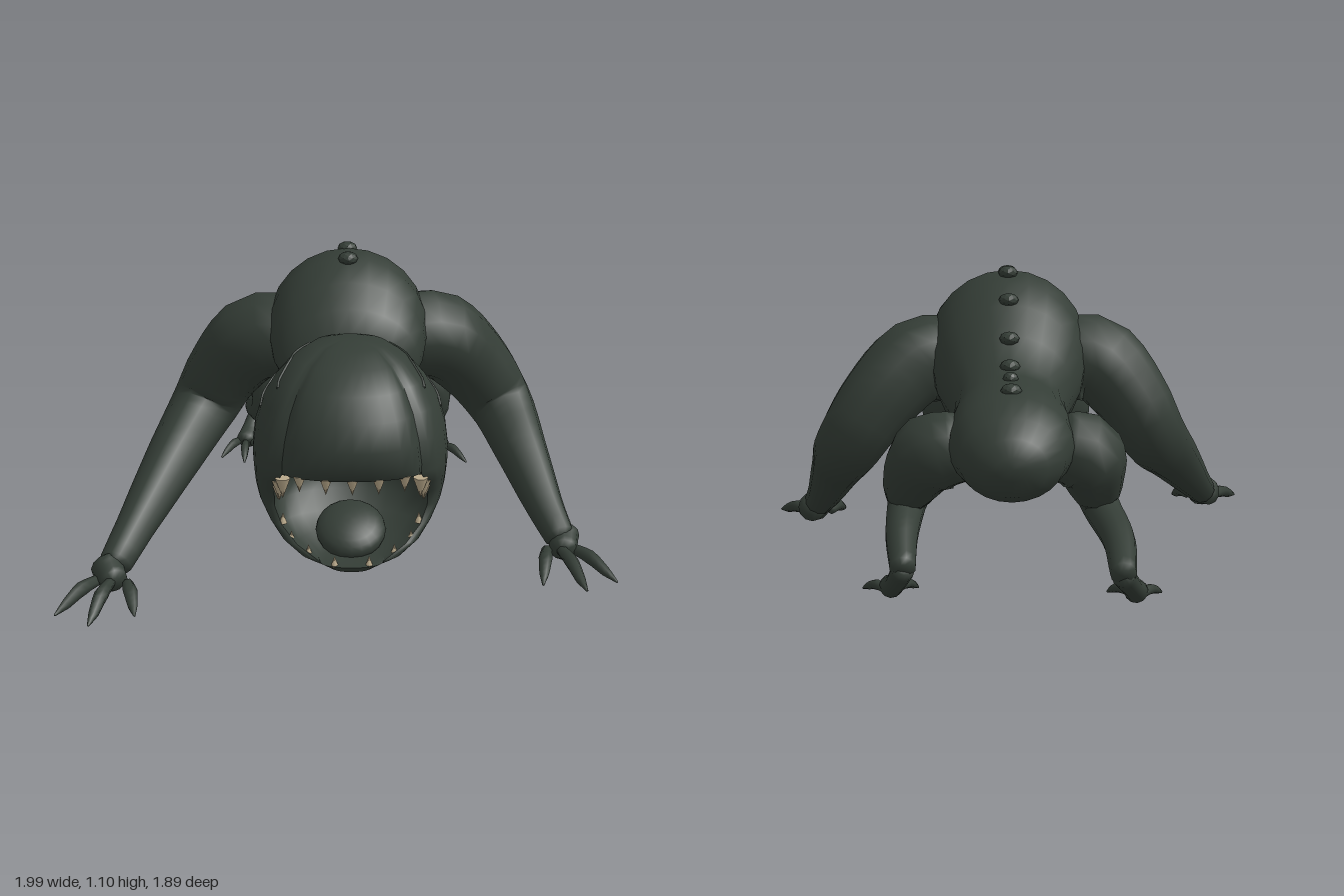
import * as THREE from 'three';
import { toCreasedNormals } from 'three/addons/utils/BufferGeometryUtils.js';

const V = (x, y, z) => new THREE.Vector3(x, y, z);
const CX = 0.03; // body centre line

// Skin a list of equal-length closed rings, closing both ends on their middle
function skin(rings) {
  const n = rings[0].length;
  const middle = (r) => r.reduce((s, p) => s.add(p), V(0, 0, 0)).divideScalar(n);
  const pos = rings.flat().flatMap((p) => p.toArray());
  const index = [];
  for (let i = 0; i < rings.length - 1; i++)
    for (let j = 0; j < n; j++) {
      const k = (j + 1) % n, a = i * n, b = a + n;
      index.push(a + j, a + k, b + k, a + j, b + k, b + j);
    }
  const last = (rings.length - 1) * n, m0 = rings.length * n;
  pos.push(...middle(rings[0]).toArray(), ...middle(rings[rings.length - 1]).toArray());
  for (let j = 0; j < n; j++) {
    const k = (j + 1) % n;
    index.push(m0, k, j, m0 + 1, last + j, last + k);
  }
  const g = new THREE.BufferGeometry();
  g.setAttribute('position', new THREE.Float32BufferAttribute(pos, 3));
  g.setIndex(index);
  g.computeVertexNormals();
  return g;
}

// Tube with changing radius through points [x, y, z, r], with rounded ends
function limb(points, steps = 16, sides = 12) {
  const curve = new THREE.CatmullRomCurve3(points.map((p) => V(p[0], p[1], p[2])), false, 'centripetal');
  const frames = curve.computeFrenetFrames(steps);
  const ring = (i, scale, shift) => {
    const t = curve.getUtoTmapping(i / steps) * (points.length - 1);
    const k = Math.min(Math.floor(t), points.length - 2);
    const r = THREE.MathUtils.lerp(points[k][3], points[k + 1][3], t - k);
    const c = curve.getPointAt(i / steps).addScaledVector(frames.tangents[i], shift * r);
    return Array.from({ length: sides }, (_, j) => {
      const a = (j / sides) * Math.PI * 2;
      return c.clone().addScaledVector(frames.normals[i], Math.cos(a) * r * scale)
        .addScaledVector(frames.binormals[i], Math.sin(a) * r * scale);
    });
  };
  const rings = [ring(0, 0.6, -0.4)];
  for (let i = 0; i <= steps; i++) rings.push(ring(i, 1, 0));
  rings.push(ring(steps, 0.6, 0.4));
  return skin(rings);
}

// Head layers, bottom to top: y, back z, widest z, half width, mouth-edge half width, mouth-edge z, front z
const HEAD = [
  [0.13, 0.66, 0.72, 0.09, 0.07, 0.76, 0.80],
  [0.15, 0.61, 0.70, 0.15, 0.11, 0.76, 0.81],
  [0.16, 0.58, 0.69, 0.18, 0.12, 0.76, 0.67],
  [0.20, 0.50, 0.63, 0.245, 0.19, 0.72, 0.58],
  [0.25, 0.45, 0.57, 0.29, 0.245, 0.66, 0.52],
  [0.31, 0.40, 0.52, 0.325, 0.27, 0.63, 0.47],
  [0.37, 0.36, 0.50, 0.34, 0.27, 0.65, 0.43],
  [0.43, 0.32, 0.50, 0.345, 0.26, 0.71, 0.42],
  [0.47, 0.29, 0.50, 0.348, 0.24, 0.74, 0.42],
  [0.48, 0.285, 0.50, 0.348, 0.24, 0.74, 0.835],
  [0.51, 0.275, 0.50, 0.348, 0.24, 0.745, 0.86],
  [0.59, 0.27, 0.49, 0.338, 0.23, 0.74, 0.865],
  [0.68, 0.29, 0.49, 0.31, 0.21, 0.71, 0.83],
  [0.76, 0.32, 0.49, 0.26, 0.18, 0.67, 0.77],
  [0.82, 0.33, 0.48, 0.20, 0.14, 0.60, 0.68],
  [0.86, 0.35, 0.46, 0.13, 0.09, 0.53, 0.58],
  [0.875, 0.40, 0.46, 0.06, 0.04, 0.49, 0.51],
];
function headGeometry() {
  const N = 6, Q = Math.PI / 2;
  const rings = HEAD.map(([y, zb, zm, w, we, ze, zf]) => {
    const half = [];
    for (let i = 0; i < N; i++) { // front bulge or mouth hollow
      const a = (i / N) * Q;
      half.push([we * Math.sin(a), ze + (zf - ze) * Math.cos(a)]);
    }
    for (let i = 0; i < N; i++) { // cheek
      const a = (i / N) * Q;
      half.push([we + (w - we) * Math.sin(a), zm + (ze - zm) * Math.cos(a)]);
    }
    for (let i = 0; i <= N; i++) { // back of the head
      const a = (i / N) * Q;
      half.push([w * Math.cos(a), zm + (zb - zm) * Math.sin(a)]);
    }
    const mirrored = half.slice(1, -1).reverse().map(([x, z]) => [-x, z]);
    return half.concat(mirrored).map(([x, z]) => V(CX + x, y, z));
  });
  return toCreasedNormals(skin(rings).scale(100, 100, 100), 0.9).scale(0.01, 0.01, 0.01);
}

export function createModel() {
  const model = new THREE.Group();
  const hide = new THREE.MeshStandardMaterial({ color: 0x343d36, side: THREE.DoubleSide });
  hide.name = 'dark green hide';
  const bone = new THREE.MeshStandardMaterial({ color: 0xb8a88a });
  bone.name = 'tooth bone';
  const add = (name, geometry, material = hide, parent = model) => {
    const mesh = new THREE.Mesh(geometry, material);
    mesh.name = name;
    parent.add(mesh);
    return mesh;
  };

  // Torso and rump: z, bottom, top, half width
  const torso = [
    [-0.905, 0.47, 0.55, 0.06], [-0.88, 0.41, 0.61, 0.12], [-0.82, 0.38, 0.67, 0.18], [-0.72, 0.37, 0.725, 0.215],
    [-0.6, 0.38, 0.75, 0.22], [-0.5, 0.41, 0.765, 0.205], [-0.41, 0.44, 0.79, 0.2], [-0.3, 0.45, 0.88, 0.235],
    [-0.2, 0.455, 0.98, 0.275], [-0.1, 0.47, 1.05, 0.295], [0, 0.495, 1.09, 0.3], [0.1, 0.52, 1.075, 0.3],
    [0.2, 0.53, 1.01, 0.285], [0.28, 0.54, 0.93, 0.255], [0.35, 0.57, 0.85, 0.21],
  ];
  add('torso', skin(torso.map(([z, lo, hi, w]) => Array.from({ length: 24 }, (_, j) => {
    const a = (j / 24) * Math.PI * 2;
    return V(CX + w * Math.cos(a), (lo + hi) / 2 + ((hi - lo) / 2) * Math.sin(a), z);
  }))));

  // Knobs along the spine
  [[-0.66, 0.735], [-0.54, 0.757], [-0.43, 0.785], [-0.32, 0.87], [-0.18, 0.995], [-0.03, 1.083], [0.1, 1.075]]
    .forEach(([z, y], i) => {
      const knob = add('spineKnob', toCreasedNormals(new THREE.IcosahedronGeometry(1, 1).scale(100, 100, 100), 0.3).scale(0.01, 0.01, 0.01));
      const s = i === 1 ? 0.028 : 0.037;
      knob.scale.set(s, 0.025, s * 1.05);
      knob.position.set(CX, y, z);
    });

  // Head with open mouth
  const head = add('head', headGeometry());
  const tongue = add('tongue', new THREE.SphereGeometry(1, 20, 12));
  tongue.scale.set(0.125, 0.06, 0.13);
  tongue.rotation.x = 0.45;
  tongue.position.set(CX, 0.215, 0.62);

  // Creases on the sides of the head, laid on its surface
  const ray = new THREE.Raycaster();
  const creases = [[[0.61, 0.74], [0.5, 0.81], [0.37, 0.85]], [[0.54, 0.65], [0.47, 0.71], [0.38, 0.78]]];
  for (const side of [1, -1])
    for (const line of creases) {
      const path = [];
      for (let i = 0; i < line.length - 1; i++)
        for (let t = 0; t <= 0.75; t += 0.25) {
          const z = THREE.MathUtils.lerp(line[i][0], line[i + 1][0], t);
          const y = THREE.MathUtils.lerp(line[i][1], line[i + 1][1], t);
          ray.set(V(side * 2, y, z), V(-side, 0, 0));
          const hit = ray.intersectObject(head)[0];
          if (hit) path.push(hit.point);
        }
      if (path.length > 2) add('headCrease', new THREE.TubeGeometry(new THREE.CatmullRomCurve3(path), 12, 0.006, 5));
    }

  // Teeth around both lips
  const tooth = (x, y, z, h, dir) => {
    const mesh = add('tooth', new THREE.ConeGeometry(h * 0.36, h, 7), bone);
    mesh.position.set(CX + x, y + (dir * h) / 2, z);
    if (dir < 0) mesh.rotation.x = Math.PI;
  };
  for (const x of [-0.18, -0.09, 0, 0.09, 0.18])
    tooth(x, 0.485, 0.725 + 0.095 * Math.sqrt(1 - (x / 0.24) ** 2), 0.06, -1);
  for (const s of [1, -1]) {
    tooth(s * 0.238, 0.455, 0.73, 0.075, -1);
    tooth(s * 0.25, 0.435, 0.70, 0.075, -1);
    tooth(s * 0.256, 0.41, 0.675, 0.06, -1);
    tooth(s * 0.24, 0.25, 0.645, 0.04, 1);
    tooth(s * 0.21, 0.20, 0.69, 0.04, 1);
    tooth(s * 0.15, 0.165, 0.73, 0.04, 1);
    tooth(s * 0.06, 0.145, 0.785, 0.04, 1);
  }

  // Limbs; each digit runs from a base [x, y, z] to a tip [x, z]
  const digits = (name, list, r) => list.forEach(([x, y, z, tx, tz]) => {
    const at = (t, h) => [THREE.MathUtils.lerp(x, tx, t), h, THREE.MathUtils.lerp(z, tz, t)];
    add(name, limb([[...at(0, y), r * 0.75], [...at(0.4, y * 0.75 + 0.012), r], [...at(0.75, 0.025), r * 0.7], [...at(1, 0.008), 0.004]], 8, 7));
  });

  add('leftArm', limb([[0.24, 0.75, 0.01, 0.165], [0.37, 0.745, -0.02, 0.17], [0.52, 0.61, -0.09, 0.15],
    [0.63, 0.45, -0.1, 0.13], [0.7, 0.31, 0.1, 0.1], [0.77, 0.16, 0.31, 0.07], [0.81, 0.09, 0.41, 0.058]], 24));
  add('leftPalm', limb([[0.83, 0.08, 0.38, 0.06], [0.82, 0.055, 0.46, 0.05]], 4));
  digits('leftFinger', [[0.76, 0.05, 0.45, 0.72, 0.66], [0.81, 0.06, 0.47, 0.87, 0.71], [0.86, 0.05, 0.44, 0.99, 0.64]], 0.026);

  add('rightArm', limb([[-0.18, 0.75, 0.01, 0.165], [-0.31, 0.745, 0, 0.17], [-0.44, 0.61, -0.03, 0.145],
    [-0.52, 0.47, -0.03, 0.13], [-0.63, 0.33, 0.2, 0.105], [-0.75, 0.17, 0.47, 0.072], [-0.81, 0.09, 0.62, 0.06]], 24));
  add('rightPalm', limb([[-0.84, 0.08, 0.63, 0.06], [-0.81, 0.055, 0.7, 0.05]], 4));
  digits('rightFinger', [[-0.87, 0.05, 0.68, -0.995, 0.87], [-0.82, 0.06, 0.72, -0.87, 0.95], [-0.76, 0.05, 0.71, -0.72, 0.88]], 0.026);

  add('leftHindLeg', limb([[0.2, 0.53, -0.6, 0.125], [0.31, 0.5, -0.59, 0.145], [0.38, 0.39, -0.53, 0.105],
    [0.4, 0.3, -0.49, 0.07], [0.41, 0.23, -0.67, 0.058], [0.4, 0.16, -0.835, 0.045]], 20));
  add('leftFoot', limb([[0.4, 0.15, -0.83, 0.04], [0.43, 0.08, -0.74, 0.035], [0.45, 0.045, -0.66, 0.042]], 8));
  digits('leftToe', [[0.42, 0.04, -0.66, 0.36, -0.55], [0.45, 0.04, -0.65, 0.46, -0.5], [0.47, 0.04, -0.68, 0.555, -0.555]], 0.019);

  add('rightHindLeg', limb([[-0.14, 0.53, -0.6, 0.125], [-0.23, 0.5, -0.59, 0.145], [-0.27, 0.39, -0.53, 0.105],
    [-0.29, 0.3, -0.49, 0.07], [-0.34, 0.22, -0.7, 0.058], [-0.34, 0.155, -0.91, 0.045]], 20));
  add('rightFoot', limb([[-0.34, 0.145, -0.9, 0.04], [-0.38, 0.08, -0.81, 0.035], [-0.4, 0.045, -0.74, 0.042]], 8));
  digits('rightToe', [[-0.42, 0.04, -0.76, -0.5, -0.63], [-0.4, 0.04, -0.73, -0.4, -0.57], [-0.37, 0.04, -0.73, -0.31, -0.62]], 0.019);

  return model;
}
